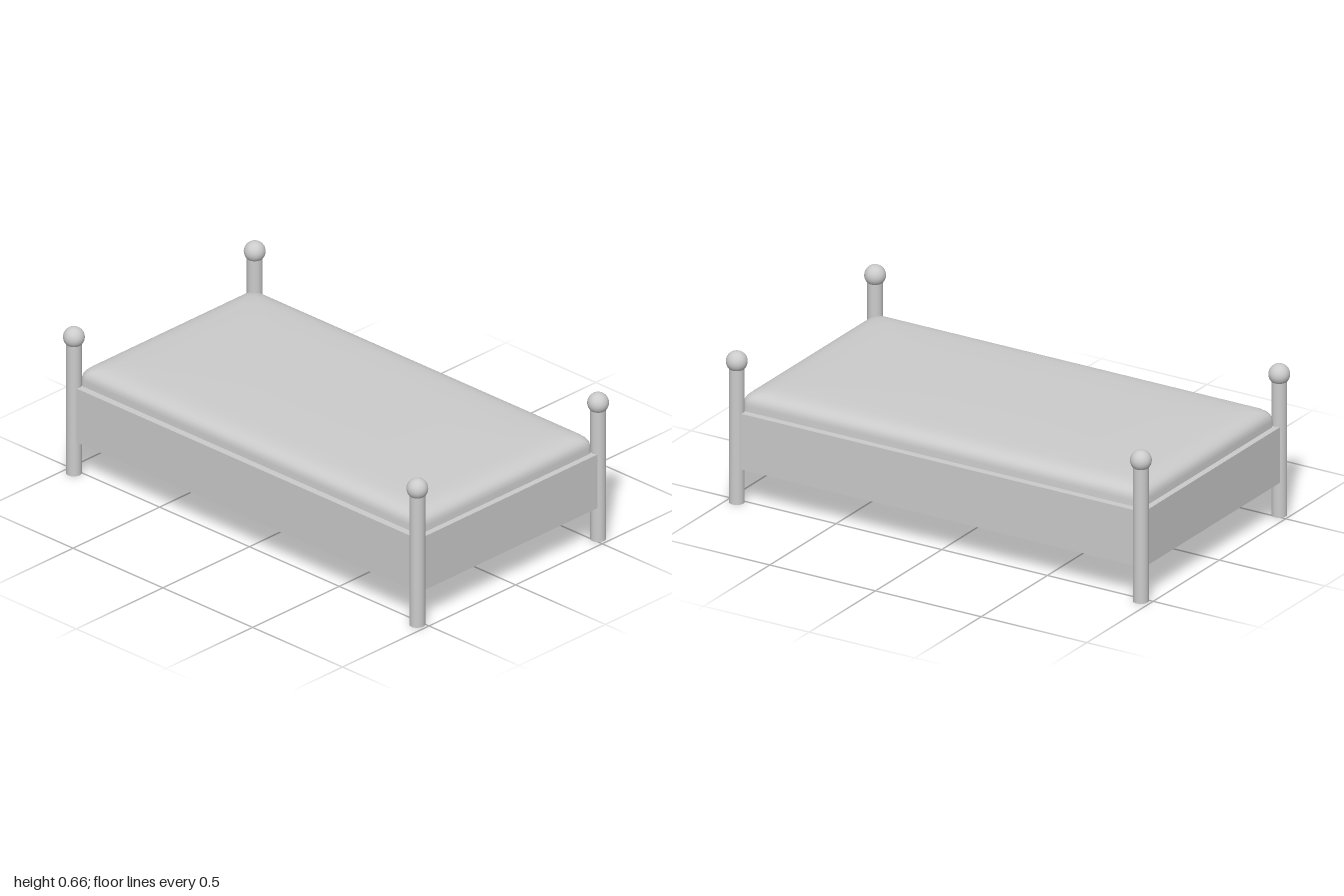
import * as THREE from 'three';
import { toCreasedNormals } from 'three/addons/utils/BufferGeometryUtils.js';

const material = new THREE.MeshStandardMaterial({ color: 0xcccccc });

function addMesh(parent, name, geometry, x, y, z) {
  const mesh = new THREE.Mesh(geometry, material);
  mesh.name = name;
  mesh.position.set(x, y, z);
  parent.add(mesh);
  return mesh;
}

// Mattress: stacked rounded-rectangle rings, closed above and below
function mattressGeometry(halfX, halfZ, profile) {
  const arcSteps = 6;
  const count = 4 * (arcSteps + 1);
  const positions = [];
  const index = [];
  for (const [inset, y] of profile) {
    const r = 0.035 + inset * 0.3;
    for (let c = 0; c < 4; c++) {
      const sx = c === 0 || c === 3 ? 1 : -1;
      const sz = c < 2 ? 1 : -1;
      for (let i = 0; i <= arcSteps; i++) {
        const a = (c + i / arcSteps) * Math.PI / 2;
        positions.push(
          sx * (halfX - inset - r) + r * Math.cos(a), y,
          sz * (halfZ - inset - r) + r * Math.sin(a));
      }
    }
  }
  for (let k = 0; k < profile.length - 1; k++) {
    for (let i = 0; i < count; i++) {
      const a = k * count + i;
      const b = k * count + (i + 1) % count;
      index.push(a, a + count, b, b, a + count, b + count);
    }
  }
  const top = (profile.length - 1) * count;
  const bottomCentre = positions.length / 3;
  positions.push(0, profile[0][1], 0);
  positions.push(0, profile[profile.length - 1][1], 0);
  for (let i = 0; i < count; i++) {
    const j = (i + 1) % count;
    index.push(bottomCentre, i, j);
    index.push(bottomCentre + 1, top + j, top + i);
  }
  const geometry = new THREE.BufferGeometry();
  geometry.setAttribute('position', new THREE.Float32BufferAttribute(positions, 3));
  geometry.setIndex(index);
  return toCreasedNormals(geometry, 0.9);
}

export function createModel() {
  const bed = new THREE.Group();
  bed.name = 'bed';

  // Corner posts with ball finials
  const postX = 0.522, postZ = 0.956, postHeight = 0.59;
  const postGeometry = new THREE.CylinderGeometry(0.032, 0.032, postHeight, 32);
  const ballGeometry = new THREE.SphereGeometry(0.044, 32, 20);
  for (const [sz, end] of [[1, 'front'], [-1, 'back']]) {
    for (const [sx, side] of [[1, 'Left'], [-1, 'Right']]) {
      const post = new THREE.Group();
      post.name = `${end}${side}Post`;
      post.position.set(sx * postX, 0, sz * postZ);
      addMesh(post, 'postShaft', postGeometry, 0, postHeight / 2, 0);
      addMesh(post, 'ballFinial', ballGeometry, 0, 0.613, 0);
      bed.add(post);
    }
  }

  // Frame boards, open underneath
  const low = 0.153, high = 0.395, thick = 0.075;
  const midY = (low + high) / 2;
  const endBoard = new THREE.BoxGeometry(0.996, high - low, thick);
  const sideBoard = new THREE.BoxGeometry(thick, high - low, 1.86);
  addMesh(bed, 'frontBoard', endBoard, 0, midY, 0.976 - thick / 2);
  addMesh(bed, 'backBoard', endBoard, 0, midY, -0.976 + thick / 2);
  addMesh(bed, 'leftBoard', sideBoard, 0.536 - thick / 2, midY, 0);
  addMesh(bed, 'rightBoard', sideBoard, -0.536 + thick / 2, midY, 0);

  // Soft-edged mattress: [inset, height] from the underside up
  const profile = [
    [0, 0.267], [0, 0.42], [0.003, 0.438], [0.01, 0.451], [0.022, 0.462],
    [0.04, 0.471], [0.065, 0.477], [0.1, 0.48], [0.18, 0.483]];
  addMesh(bed, 'mattress', mattressGeometry(0.505, 0.95, profile), 0, 0, 0);

  return bed;
}
